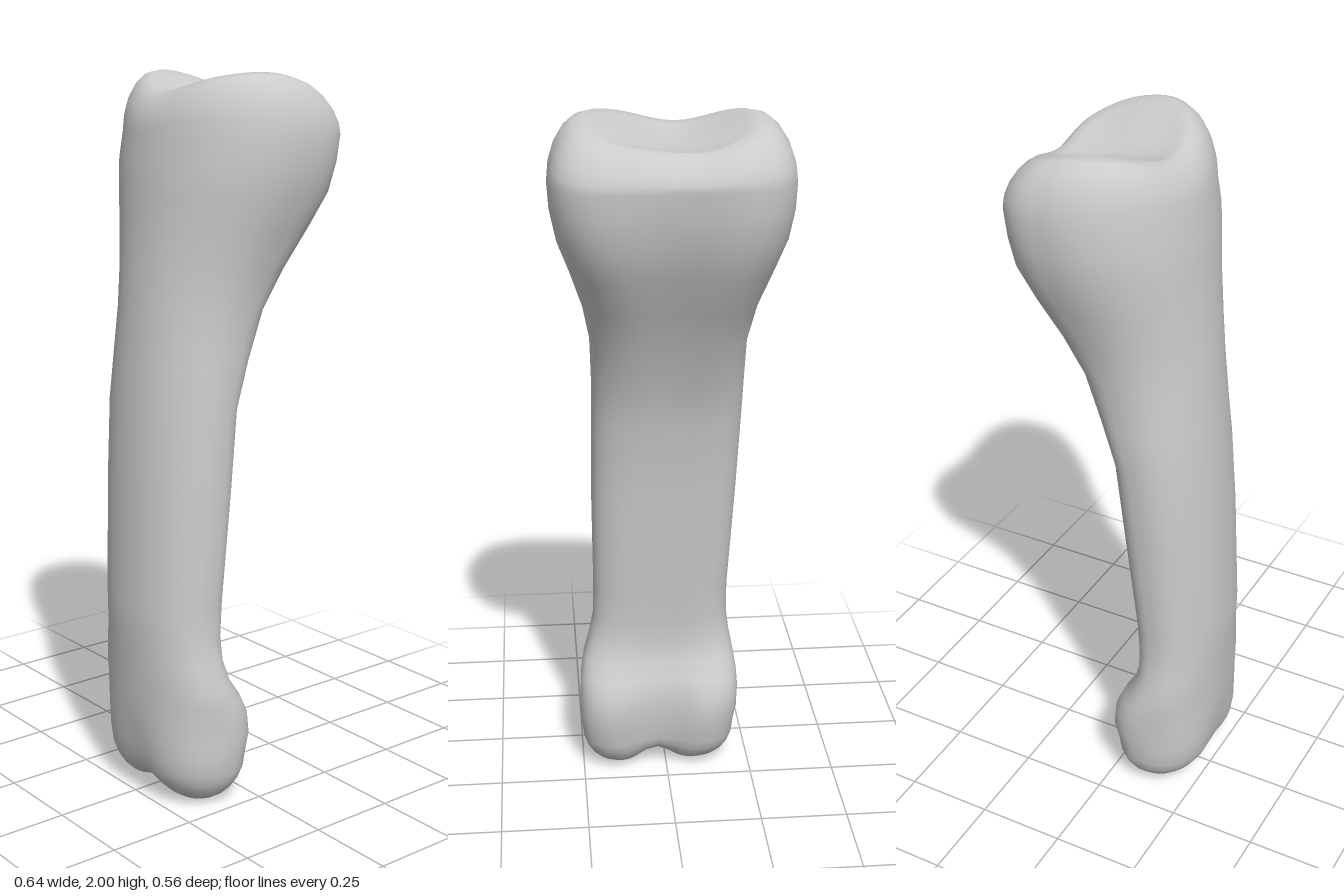
import * as THREE from 'three';
import { mergeVertices } from 'three/addons/utils/BufferGeometryUtils.js';

const SEG = 56;

// Extents of the bone at each height: y, xMin, xMax, zBack, zFront
const SECTIONS = [
  [0.15, -0.208, 0.256, 0.000, 0.28],
  [0.20, -0.216, 0.259, -0.01, 0.28],
  [0.26, -0.219, 0.259, -0.004, 0.278],
  [0.31, -0.216, 0.255, 0.018, 0.276],
  [0.36, -0.208, 0.245, 0.05, 0.277],
  [0.42, -0.195, 0.226, 0.064, 0.279],
  [0.49, -0.186, 0.212, 0.062, 0.282],
  [0.58, -0.186, 0.21, 0.054, 0.285],
  [0.90, -0.204, 0.212, 0.02, 0.271],
  [1.12, -0.214, 0.209, -0.003, 0.256],
  [1.25, -0.216, 0.208, -0.047, 0.244],
  [1.38, -0.218, 0.212, -0.096, 0.232],
  [1.49, -0.238, 0.232, -0.157, 0.222],
  [1.60, -0.274, 0.266, -0.218, 0.21],
  [1.69, -0.304, 0.298, -0.258, 0.202],
  [1.77, -0.318, 0.314, -0.272, 0.194],
  [1.84, -0.32, 0.318, -0.281, 0.18],
];

const { lerp, smoothstep } = THREE.MathUtils;
const bump = (x, width) => Math.exp(-((x / width) ** 2));
const power = (v, p) => Math.sign(v) * Math.abs(v) ** p;

// One closed outline: rounded front, flatter and grooved back
function ring([y, x0, x1, zb, zf]) {
  const cx = (x0 + x1) / 2, hw = (x1 - x0) / 2;
  const zm = lerp(zb, zf, 0.42);
  const knuckle = bump(y - 0.2, 0.14);
  const backGroove = 0.012 + 0.045 * knuckle + 0.026 * bump(y - 1.65, 0.25);
  const frontGroove = 0.022 * (1 - smoothstep(y, 0.1, 0.32));
  const sidePit = 0.01 * bump(y - 0.23, 0.09);
  const backPower = lerp(0.72, 0.64, smoothstep(y, 1.4, 1.8));
  const backDepth = zm - zb + backGroove * 0.25;
  const skew = 0.012 * smoothstep(y, 1.4, 1.8);
  return Array.from({ length: SEG }, (_, j) => {
    const a = (j / SEG) * Math.PI * 2, c = Math.cos(a), s = Math.sin(a);
    const front = s > 0, p = front ? 0.97 : backPower;
    let x = cx + hw * power(c, p);
    let z = zm + (front ? zf - zm : backDepth) * power(s, p);
    const groove = bump(x - cx, hw * 0.45) * Math.abs(s);
    z += (front ? -frontGroove : backGroove) * groove;
    if (!front) z += skew * s * power(c, p);
    x -= c * sidePit * bump(z - 0.16, 0.05);
    return new THREE.Vector3(x, y, z);
  });
}

// Two rounded knuckles with a notch between them
function lowerCap(edge) {
  return [0, 0.05, 0.15, 0.3, 0.45, 0.6, 0.74, 0.86, 0.95].map((s) => edge.map((v) => {
    const x = lerp(0.025, v.x, s ** 0.48);
    const z = lerp(0.132, v.z, s);
    const dome = v.y * (1 - Math.sqrt(1 - s * s));
    const notch = (0.049 * bump(x - 0.035, 0.06) - 0.006) * (1 - s * s);
    const tilt = 0.008 * (1 - s) * smoothstep(-x, -0.1, 0.05);
    return new THREE.Vector3(x, dome + notch + tilt, z);
  }));
}

// Rounded rim with a shallow dished socket
function upperCap(edge) {
  const rise = (s) => Math.sqrt(1 - Math.max(0, (s - 0.7) / 0.3) ** 2);
  return [0.985, 0.94, 0.87, 0.79, 0.7, 0.6, 0.48, 0.34, 0.17, 0].map((s) => edge.map((v) => {
    const x = v.x * s, z = lerp(-0.05, v.z, s);
    const dish = 0.045 * Math.max(0, 1 - (s / 0.7) ** 2);
    const rim = 2.003 - 0.032 * bump(x + 0.03, 0.12) - 1.3 * (z + 0.01) ** 2;
    return new THREE.Vector3(x, lerp(v.y, rim - dish, rise(s)), z);
  }));
}

// Skin the rings from bottom to top; the first and last rings are poles
function loft(rings) {
  const index = [];
  const last = rings.length - 2;
  for (let i = 0; i <= last; i++) {
    for (let j = 0; j < SEG; j++) {
      const a = i * SEG + j, b = i * SEG + ((j + 1) % SEG);
      const c = a + SEG, d = b + SEG;
      if (i > 0) index.push(a, c, b);
      if (i < last) index.push(b, c, d);
    }
  }
  const geometry = new THREE.BufferGeometry().setFromPoints(rings.flat());
  geometry.setIndex(index);
  const merged = mergeVertices(geometry, 1e-5);
  merged.computeVertexNormals();
  return merged;
}

export function createModel() {
  const group = new THREE.Group();
  group.name = 'fingerBone';
  const body = SECTIONS.map(ring);
  const rings = [...lowerCap(body[0]), ...body, ...upperCap(body[body.length - 1])];
  const bone = new THREE.Mesh(loft(rings), new THREE.MeshStandardMaterial({ color: 0xcccccc }));
  bone.name = 'bone';
  group.add(bone);
  return group;
}
